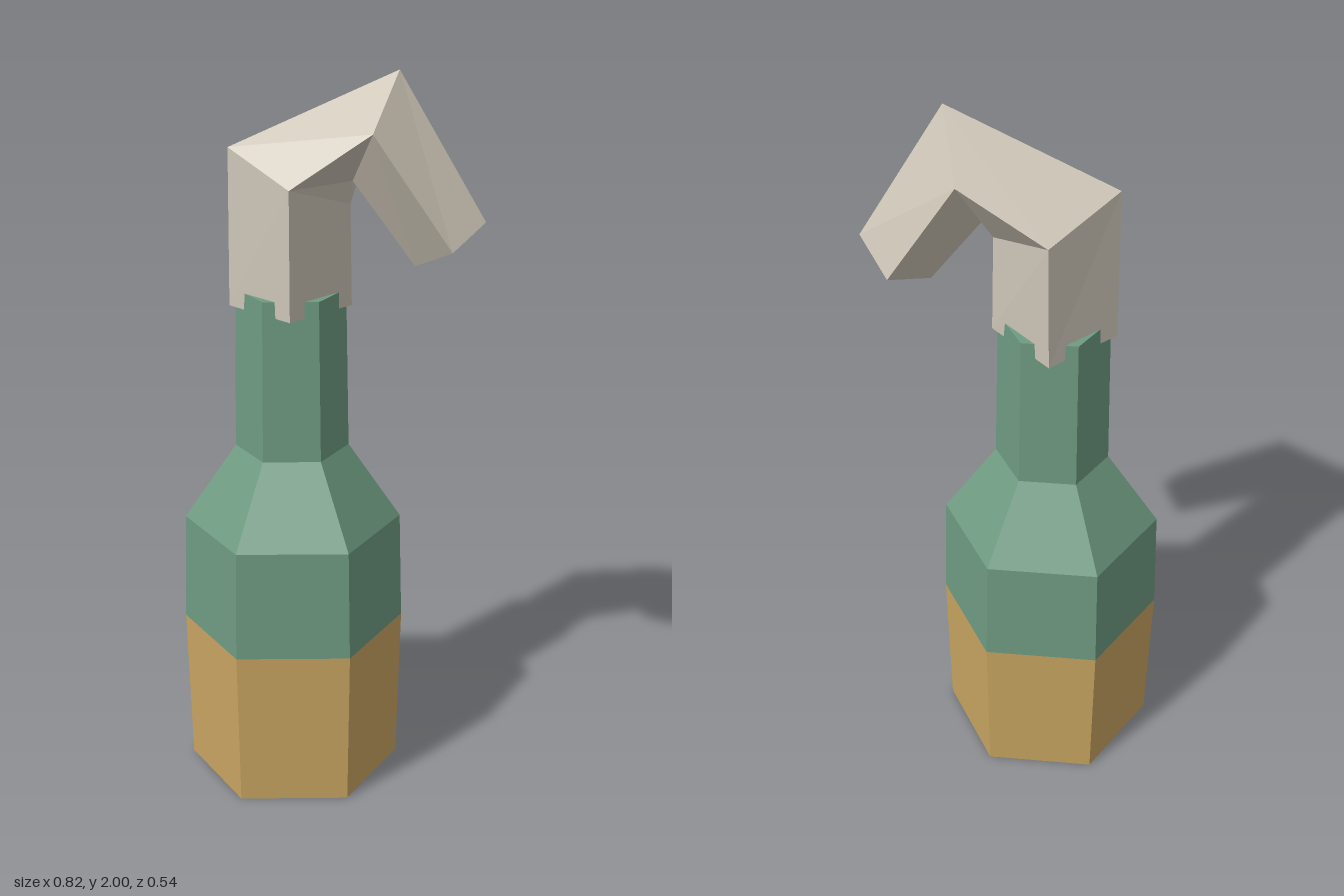
import * as THREE from 'three';

const green = new THREE.MeshStandardMaterial({ color: 0x6f9b82 });
green.name = 'bottleGreen';
const amber = new THREE.MeshStandardMaterial({ color: 0xc9a562 });
amber.name = 'liquidAmber';
const linen = new THREE.MeshStandardMaterial({ color: 0xcec6b8 });
linen.name = 'clothLinen';

// Splits shared corners so that every facet is shaded flat
function faceted(geometry) {
  const flat = geometry.index ? geometry.toNonIndexed() : geometry;
  flat.computeVertexNormals();
  return flat;
}

// Six-sided turned shape with corners on the x axis; profile is [radius, y] from bottom to top
function hexLathe(profile) {
  const points = profile.map(([r, y]) => new THREE.Vector2(r, y));
  return faceted(new THREE.LatheGeometry(points, 6, Math.PI / 2));
}

// Closed four-sided skin through a list of rings, each counterclockwise seen from its far end
function loft(rings) {
  const positions = [];
  const quad = (a, b, c, d) => positions.push(...a, ...b, ...c, ...a, ...c, ...d);
  for (let r = 0; r < rings.length - 1; r++) {
    for (let i = 0; i < 4; i++) {
      const j = (i + 1) % 4;
      quad(rings[r][i], rings[r][j], rings[r + 1][j], rings[r + 1][i]);
    }
  }
  quad(...[...rings[0]].reverse());
  quad(...rings[rings.length - 1]);
  const geometry = new THREE.BufferGeometry();
  geometry.setAttribute('position', new THREE.Float32BufferAttribute(positions, 3));
  return faceted(geometry);
}

export function createModel() {
  const model = new THREE.Group();
  model.name = 'bottleWithRag';
  const add = (name, geometry, material, x = 0) => {
    const mesh = new THREE.Mesh(geometry, material);
    mesh.name = name;
    mesh.position.x = x;
    model.add(mesh);
  };

  // Filled lower half and the glass above it
  add('filledBase', hexLathe([[0, 0], [0.3, 0], [0.31, 0.45]]), amber, -0.103);
  add('glassBody', hexLathe([
    [0.31, 0.45], [0.301, 0.76], [0.156, 0.975], [0.148, 1.42], [0, 1.42],
  ]), green, -0.103);

  // Rag stuffed over the mouth, folding over and hanging down; corners: outer, front, inner, back
  add('rag', loft([
    [[-0.268, 1.375, 0], [-0.105, 1.375, 0.168], [0.06, 1.375, 0], [-0.105, 1.375, -0.168]],
    [[-0.264, 1.8, 0], [-0.105, 1.722, 0.175], [0.055, 1.65, 0], [-0.1, 1.727, -0.177]],
    [[0.178, 2, 0.022], [0.105, 1.863, 0.175], [0.06, 1.715, 0.02], [0.13, 1.855, -0.133]],
    [[0.408, 1.61, 0.045], [0.313, 1.555, 0.154], [0.225, 1.492, 0.043], [0.32, 1.546, -0.066]],
  ]), linen);

  return model;
}
